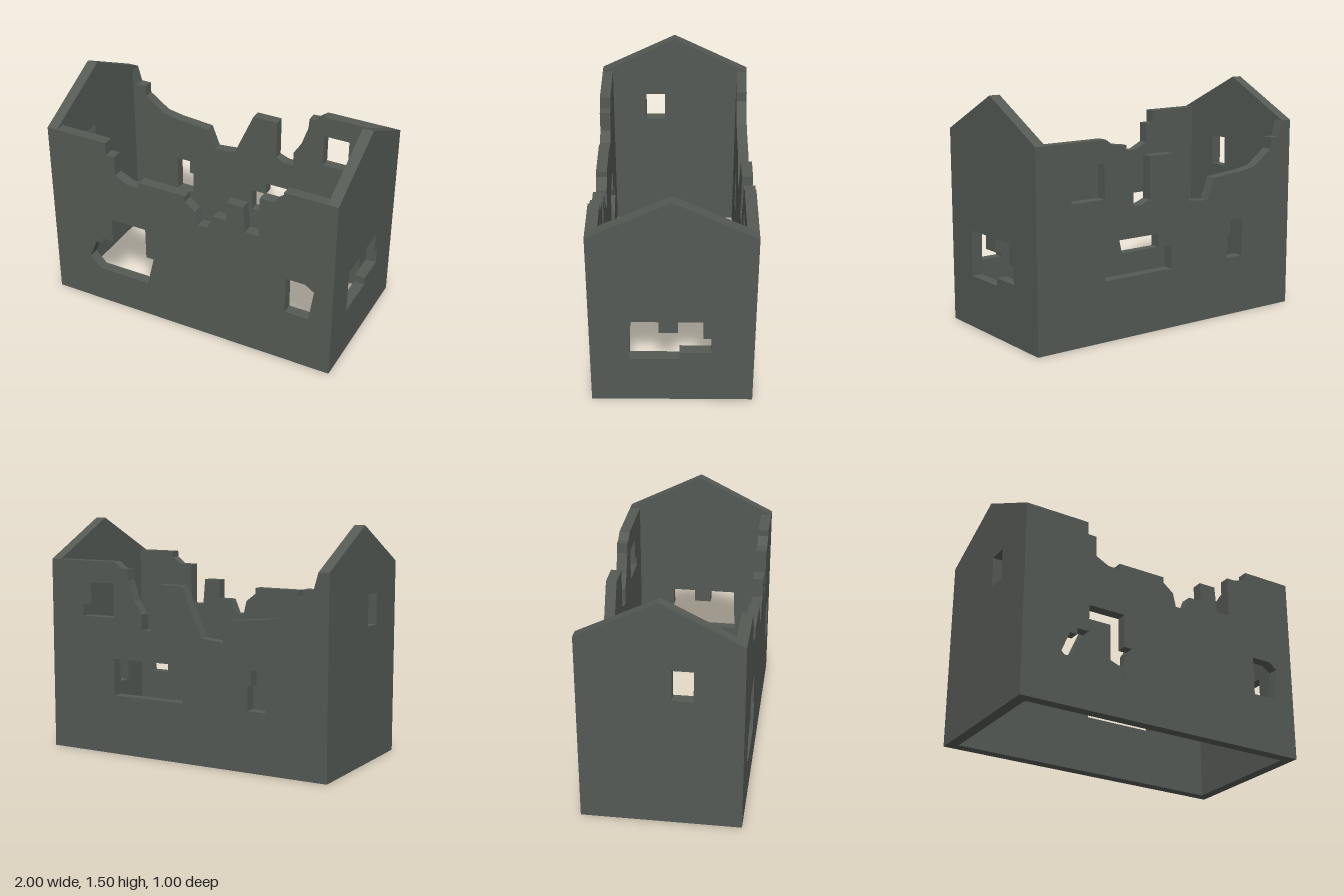
import * as THREE from 'three';

const T = 0.07; // wall thickness

const toPoints = (list) => list.map(([a, b]) => new THREE.Vector2(a, b));

// A wall slab extruded from its outline, with openings cut through
function wallGeometry(outline, holes) {
  const shape = new THREE.Shape(toPoints(outline));
  holes.forEach((h) => shape.holes.push(new THREE.Path(toPoints(h))));
  return new THREE.ExtrudeGeometry(shape, { depth: T, bevelEnabled: false });
}

export function createModel() {
  const group = new THREE.Group();
  const stone = new THREE.MeshStandardMaterial({ color: 0x555a55 });
  stone.name = 'darkStone';

  function addWall(name, geometry, x, z) {
    const mesh = new THREE.Mesh(geometry, stone);
    mesh.name = name;
    mesh.position.set(x, 0, z);
    group.add(mesh);
  }

  const W = 1 - T; // long walls fit between the gables

  // Front wall: broken top edge, one large and one small breach
  const frontOutline = [
    [-W, 0], [W, 0], [W, 1.25], [0.655, 1.25], [0.655, 1.21], [0.595, 1.165],
    [0.5, 1.165], [0.5, 0.89], [0.405, 0.89], [0.39, 1.065], [0.275, 1.065],
    [0.275, 0.935], [0.185, 0.935], [0.145, 0.84], [0.08, 0.84], [0.06, 0.93],
    [-0.01, 0.985], [-0.01, 1.025], [-0.34, 1.025], [-0.34, 0.985],
    [-0.42, 0.985], [-0.51, 1.03], [-0.51, 1.165], [-0.57, 1.165],
    [-0.57, 1.25], [-W, 1.25],
  ];
  const frontHoles = [
    [[-0.555, 0.68], [-0.305, 0.68], [-0.305, 0.465], [-0.25, 0.465],
      [-0.3, 0.255], [-0.665, 0.255], [-0.74, 0.335], [-0.685, 0.465],
      [-0.635, 0.465], [-0.635, 0.505], [-0.555, 0.505]],
    [[0.685, 0.635], [0.815, 0.635], [0.875, 0.595], [0.845, 0.38], [0.685, 0.38]],
  ];
  addWall('frontWall', wallGeometry(frontOutline, frontHoles), 0, 0.5 - T);

  // Back wall: deeper breaks and three openings
  const backOutline = [
    [-W, 0], [W, 0], [W, 1.25], [0.505, 1.25], [0.45, 1.21], [0.405, 1.21],
    [0.4, 1.14], [0.355, 1.01], [0.3, 0.925], [0.3, 0.825], [0.24, 0.825],
    [0.175, 0.85], [0.175, 1.12], [0, 1.12], [-0.14, 0.805], [-0.29, 0.79],
    [-0.345, 0.93], [-0.58, 0.95], [-0.69, 0.97], [-0.83, 1.07],
    [-0.83, 1.145], [-0.9, 1.145], [-W, 1.25],
  ];
  const backHoles = [
    [[-0.59, 0.385], [-0.465, 0.385], [-0.465, 0.54], [-0.49, 0.54],
      [-0.49, 0.635], [-0.59, 0.635]],
    [[0.515, 0.625], [0.105, 0.625], [0.105, 0.54], [0, 0.54], [0, 0.385],
      [0.515, 0.385]],
    [[0.755, 0.89], [0.515, 0.89], [0.515, 1.11], [0.69, 1.11], [0.69, 0.965],
      [0.755, 0.965]],
  ];
  addWall('backWall', wallGeometry(backOutline, backHoles), 0, -0.5);

  // Gable ends, drawn in z and y, then turned to face sideways
  const gableOutline = [[-0.5, 0], [0.5, 0], [0.5, 1.25], [0, 1.5], [-0.5, 1.25]];
  const leftHole = [
    [0.25, 0.63], [0.08, 0.63], [0.08, 0.545], [-0.035, 0.545], [-0.035, 0.63],
    [-0.19, 0.63], [-0.19, 0.5], [-0.24, 0.5], [-0.24, 0.385],
    [-0.045, 0.385], [-0.045, 0.335], [0.26, 0.335],
  ];
  const rightHole = [[0.07, 0.87], [0.2, 0.87], [0.2, 1.07], [0.07, 1.07]];
  const gable = (hole) => wallGeometry(gableOutline, [hole]).rotateY(-Math.PI / 2);
  addWall('leftGable', gable(leftHole), 1, 0);
  addWall('rightGable', gable(rightHole), -W, 0);

  return group;
}
